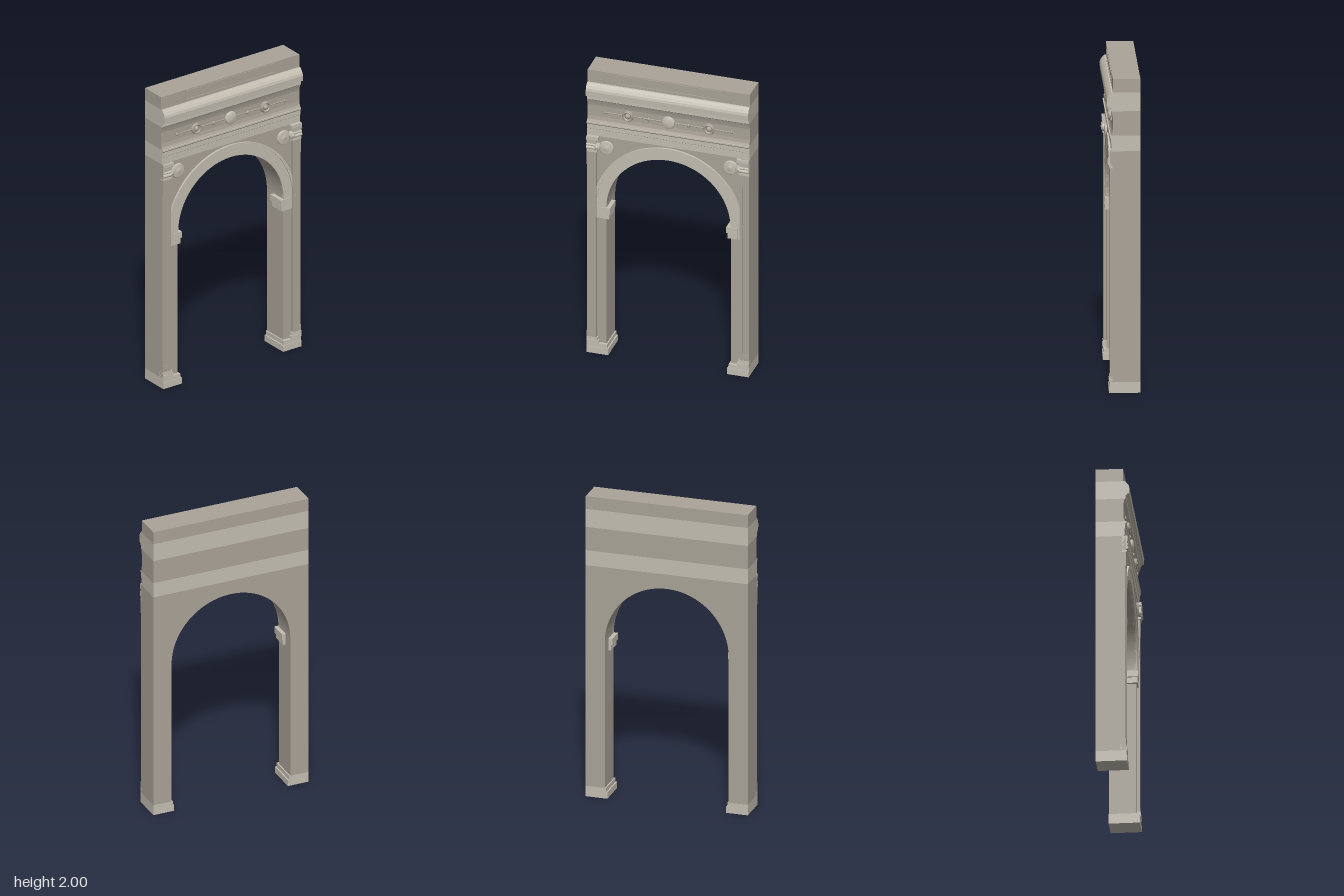
import * as THREE from 'three';

const W = 0.53, BACK = -0.105, WALL = 0.066, SPRING = 1.04, R = 0.405;
const light = new THREE.MeshStandardMaterial({ color: 0xc4beb2 });
const dark = new THREE.MeshStandardMaterial({ color: 0xaaa398 });

export function createModel() {
  const model = new THREE.Group();

  const add = (name, geometry, material, parent = model) => {
    const mesh = new THREE.Mesh(geometry, material);
    mesh.name = name;
    parent.add(mesh);
    return mesh;
  };
  // Box given by its limits
  const box = (name, x0, x1, y0, y1, z0, z1, material, parent) => {
    const g = new THREE.BoxGeometry(x1 - x0, y1 - y0, z1 - z0);
    g.translate((x0 + x1) / 2, (y0 + y1) / 2, (z0 + z1) / 2);
    return add(name, g, material, parent);
  };
  // Moulding running along x from front-edge points [z, y], closed at the back plane
  const moulding = (name, x0, x1, back, pts, material, parent) => {
    const all = [[back, pts[0][1]], ...pts, [back, pts[pts.length - 1][1]]];
    const s = new THREE.Shape(all.map(([z, y]) => new THREE.Vector2(-z, y)));
    const g = new THREE.ExtrudeGeometry(s, { depth: x1 - x0, bevelEnabled: false });
    g.rotateY(Math.PI / 2).translate(x0, 0, 0);
    return add(name, g, material, parent);
  };
  // Flat shape in the front plane, given a thickness
  const slab = (name, shape, z0, z1, material, parent) => {
    const g = new THREE.ExtrudeGeometry(shape, { depth: z1 - z0, bevelEnabled: false, curveSegments: 36 });
    return add(name, g.translate(0, 0, z0), material, parent);
  };
  // Turned ornament facing the front, from [radius, z] points
  const rosette = (name, x, y, pts, material, parent) => {
    const g = new THREE.LatheGeometry(pts.map(([r, z]) => new THREE.Vector2(r, z)), 28);
    return add(name, g.rotateX(Math.PI / 2).translate(x, y, 0), material, parent);
  };

  // Wall with the arched opening
  const wall = new THREE.Shape();
  wall.moveTo(-W, 0.07).lineTo(-W, 1.54).lineTo(W, 1.54).lineTo(W, 0.07).lineTo(R, 0.07).lineTo(R, SPRING);
  wall.absarc(0, SPRING, R, 0, Math.PI, false);
  wall.lineTo(-R, 0.07);
  slab('archWall', wall, BACK, WALL, dark);

  // Archivolt: broad band with short legs and a raised outer fillet
  const band = (inner, outer, foot) => {
    const s = new THREE.Shape();
    s.moveTo(outer, foot).lineTo(outer, SPRING);
    s.absarc(0, SPRING, outer, 0, Math.PI, false);
    s.lineTo(-outer, foot).lineTo(-inner, foot).lineTo(-inner, SPRING);
    s.absarc(0, SPRING, inner, Math.PI, 0, true);
    s.lineTo(inner, foot);
    return s;
  };
  slab('archivolt', band(R, 0.475, 0.96), WALL - 0.01, 0.074, light);
  slab('archivoltFillet', band(0.472, 0.489, SPRING), WALL - 0.01, 0.08, light);

  // Entablature from bottom to top
  moulding('architrave', -W, W, BACK,
    [[0.07, 1.54], [0.074, 1.542], [0.074, 1.588], [0.079, 1.592], [0.079, 1.622], [0.086, 1.63], [0.086, 1.64]], light);
  moulding('frieze', -W, W, BACK,
    [[0.079, 1.64], [0.071, 1.655], [0.067, 1.68], [0.067, 1.755], [0.071, 1.775], [0.077, 1.795]], dark);
  moulding('cornice', -W, W, BACK,
    [[0.077, 1.795], [0.082, 1.8], [0.082, 1.818], [0.09, 1.822], [0.09, 1.828], [0.103, 1.832],
      [0.105, 1.868], [0.101, 1.884], [0.091, 1.9], [0.077, 1.915]], light);
  box('attic', -W, W, 1.915, 2, BACK, 0.066, dark);

  // Raised attic frame
  const frame = new THREE.Shape();
  frame.moveTo(-0.342, 1.928).lineTo(0.342, 1.928).lineTo(0.342, 1.994).lineTo(-0.342, 1.994);
  const hole = new THREE.Path();
  hole.moveTo(-0.334, 1.935).lineTo(-0.334, 1.987).lineTo(0.334, 1.987).lineTo(0.334, 1.935);
  frame.holes.push(hole);
  slab('atticPanelFrame', frame, 0.06, 0.071, dark);

  // Frieze ornaments strung on a thin rod
  const rod = new THREE.CylinderGeometry(0.004, 0.004, 0.84, 8).rotateZ(Math.PI / 2);
  add('friezeRod', rod.translate(0, 1.715, 0.068), dark);
  rosette('friezeMedallion', 0, 1.715,
    [[0.042, 0.06], [0.042, 0.078], [0.038, 0.082], [0.022, 0.086], [0, 0.088]], light);

  for (const s of [-1, 1]) {
    const side = new THREE.Group();
    side.name = s > 0 ? 'leftSide' : 'rightSide';
    model.add(side);
    const sbox = (name, x0, x1, y0, y1, z0, z1, m) =>
      box(name, Math.min(s * x0, s * x1), Math.max(s * x0, s * x1), y0, y1, z0, z1, m, side);

    // Frieze rings and buds
    rosette('friezeRing', s * 0.265, 1.715,
      [[0.036, 0.06], [0.036, 0.078], [0.031, 0.086], [0.025, 0.084], [0.022, 0.074],
        [0.017, 0.074], [0.015, 0.084], [0.008, 0.09], [0, 0.09]], dark, side);
    for (const [x, r] of [[0.13, 0.013], [0.413, 0.01]]) {
      const bud = new THREE.SphereGeometry(r, 10, 8).scale(0.8, 1, 0.8);
      add('friezeBud', bud.translate(s * x, 1.715, 0.071), dark, side);
    }

    // Spandrel disc
    rosette('spandrelDisc', s * 0.405, 1.465,
      [[0.047, 0.06], [0.047, 0.074], [0.042, 0.079], [0.03, 0.077], [0.016, 0.082], [0, 0.084]], light, side);

    // Pilaster with a sunk panel running out to the side edge
    const p = new THREE.Shape();
    p.moveTo(s * 0.468, 0.07).lineTo(s * W, 0.07).lineTo(s * W, 0.15).lineTo(s * 0.485, 0.15)
      .lineTo(s * 0.485, 1.335).lineTo(s * W, 1.335).lineTo(s * W, 1.54).lineTo(s * 0.468, 1.54);
    slab('pilasterFrame', p, WALL - 0.01, 0.084, dark, side);
    sbox('pilasterPanel', 0.48, W, 0.14, 1.345, WALL - 0.01, 0.08, dark);

    // Capital: neck ring, tapered bell, roll, volute and abacus
    sbox('capitalNeck', 0.462, W, 1.43, 1.442, 0.06, 0.089, light);
    const x0 = s > 0 ? 0.465 : -W;
    moulding('capitalBell', x0, x0 + 0.065, 0.06, [[0.085, 1.442], [0.087, 1.47], [0.094, 1.52]], light, side);
    for (const [y, r] of [[1.462, 0.011], [1.482, 0.008]]) {
      const roll = new THREE.CylinderGeometry(r, r, 0.06, 14).rotateZ(Math.PI / 2);
      add('capitalRoll', roll.translate(s * 0.5, y, 0.088), light, side);
    }
    rosette('capitalVolute', s * 0.465, 1.469,
      [[0.024, 0.06], [0.024, 0.088], [0.019, 0.094], [0.013, 0.09], [0.008, 0.098], [0, 0.099]], light, side);
    sbox('capitalAbacus', 0.452, W, 1.518, 1.54, 0.06, 0.094, light);

    // Impost blocks at the springing
    sbox('impostLower', 0.388, 0.45, 0.96, 1.0, -0.03, 0.076, light);
    sbox('impostUpper', 0.379, 0.45, 0.998, SPRING, -0.035, 0.079, light);

    // Stepped base
    sbox('plinth', 0.388, W, 0, 0.042, BACK, 0.09, light);
    sbox('plinthStep', 0.397, W, 0.042, 0.07, BACK, 0.086, light);
    sbox('pilasterBase', 0.452, W, 0.07, 0.09, 0.05, 0.09, light);
    sbox('pilasterBaseRing', 0.46, W, 0.09, 0.11, 0.05, 0.087, light);
  }
  return model;
}
